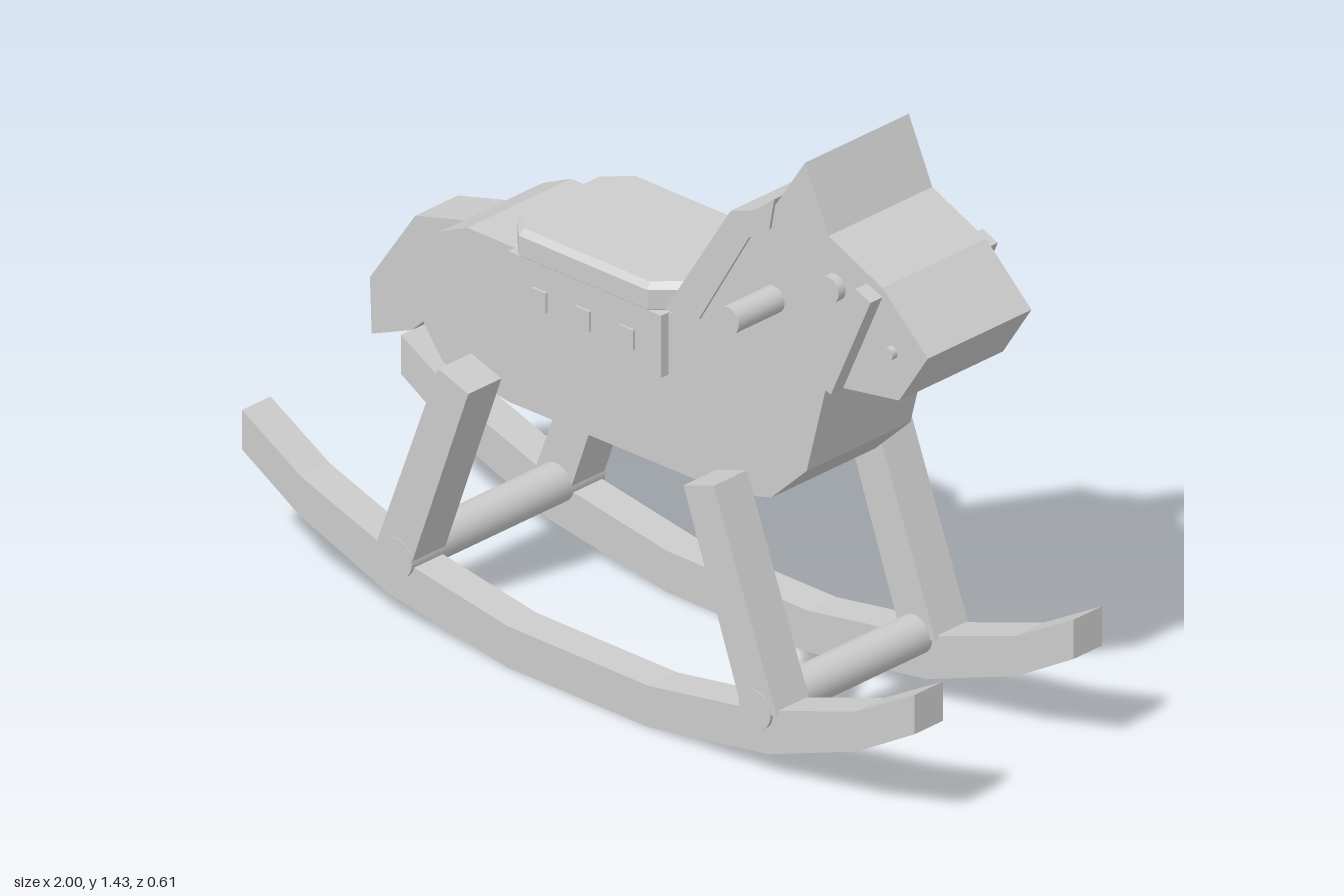
import * as THREE from 'three';

export function createModel() {
  const model = new THREE.Group();
  model.name = 'rockingHorse';
  const paint = new THREE.MeshStandardMaterial({ color: 0xcccccc });
  paint.name = 'light grey';

  function add(name, geometry, x = 0, y = 0, z = 0) {
    const mesh = new THREE.Mesh(geometry, paint);
    mesh.name = name;
    mesh.position.set(x, y, z);
    model.add(mesh);
    return mesh;
  }

  // Flat board cut from an x-y outline, running from z0 to z1
  function board(name, points, z0, z1) {
    const shape = new THREE.Shape(points.map(([x, y]) => new THREE.Vector2(x, y)));
    const geometry = new THREE.ExtrudeGeometry(shape, { depth: z1 - z0, bevelEnabled: false });
    return add(name, geometry, 0, 0, z0);
  }

  // Round bar across the horse
  function dowel(name, x, y, radius, half) {
    const geometry = new THREE.CylinderGeometry(radius, radius, half * 2, 24);
    geometry.rotateX(Math.PI / 2);
    return add(name, geometry, x, y, 0);
  }

  // Body, neck, ears and head in one thick profile
  board('body', [
    [-0.615, 0.82], [-0.54, 0.89], [-0.455, 0.93], [0.15, 0.93], [0.19, 0.985],
    [0.345, 1.235], [0.41, 1.26], [0.455, 1.29], [0.55, 1.433], [0.62, 1.28],
    [0.78, 1.21], [0.915, 1.085], [0.83, 0.955], [0.615, 0.92], [0.555, 0.69],
    [0.45, 0.59], [0.33, 0.557], [-0.33, 0.552], [-0.525, 0.58], [-0.595, 0.67],
  ], -0.163, 0.163);

  // Mane wraps the back of the neck, slightly wider than it
  board('mane', [
    [0.14, 0.94], [0.335, 1.245], [0.405, 1.27], [0.465, 1.318], [0.45, 1.24],
    [0.39, 1.2], [0.24, 0.95],
  ], -0.17, 0.17);

  board('tail', [
    [-0.55, 0.88], [-0.7, 0.84], [-0.835, 0.645], [-0.83, 0.51],
    [-0.71, 0.56], [-0.595, 0.67], [-0.55, 0.73],
  ], -0.067, 0.067);

  // Head details
  board('bridle', [[0.735, 1.205], [0.78, 1.187], [0.662, 0.925], [0.617, 0.938]], -0.2, 0.2);
  dowel('eyes', 0.64, 1.165, 0.031, 0.185);
  dowel('nostrils', 0.81, 1.065, 0.015, 0.178);
  dowel('handle', 0.457, 1.072, 0.032, 0.307);

  // Saddle blanket with square studs
  add('saddleBlanket', new THREE.BoxGeometry(0.455, 0.15, 0.374), -0.083, 0.857, 0);
  for (const x of [-0.215, -0.085, 0.045]) {
    add('blanketStud', new THREE.BoxGeometry(0.043, 0.048, 0.386), x, 0.848, 0);
  }

  // Saddle pad: octagon with chamfered rims
  const bevel = 0.014, hx = 0.255 - bevel, hz = 0.188 - bevel, cut = 0.055;
  const pad = new THREE.Shape([
    [-hx, -hz + cut], [-hx + cut, -hz], [hx - cut, -hz], [hx, -hz + cut],
    [hx, hz - cut], [hx - cut, hz], [-hx + cut, hz], [-hx, hz - cut],
  ].map(([x, y]) => new THREE.Vector2(x, y)));
  const padGeometry = new THREE.ExtrudeGeometry(pad, {
    depth: 0.047, bevelThickness: bevel, bevelSize: bevel, bevelSegments: 1,
  });
  padGeometry.rotateX(-Math.PI / 2);
  add('saddlePad', padGeometry, -0.087, 0.934, 0);

  // Rockers: mirrored half outlines, bottom then top
  const bottom = [[0.21, 0], [0.565, 0.057], [0.83, 0.155], [1, 0.255]];
  const top = [[1, 0.35], [0.825, 0.25], [0.545, 0.155], [0.21, 0.1]];
  const half = [...bottom, ...top];
  const rocker = [...half, ...half.map(([x, y]) => [-x, y]).reverse()];
  const leg = [[0.41, 0.655], [0.32, 0.625], [0.495, 0.14], [0.597, 0.163]];
  for (const side of [1, -1]) {
    const span = (a, b) => (side > 0 ? [a, b] : [-b, -a]);
    board(side > 0 ? 'frontRocker' : 'backRocker', rocker, ...span(0.205, 0.295));
    for (const end of [1, -1]) {
      board('leg', leg.map(([x, y]) => [x * end, y]), ...span(0.198, 0.302));
    }
  }

  // Cross bars between the rockers
  for (const end of [1, -1]) dowel('crossBar', 0.533 * end, 0.157, 0.047, 0.304);

  return model;
}
